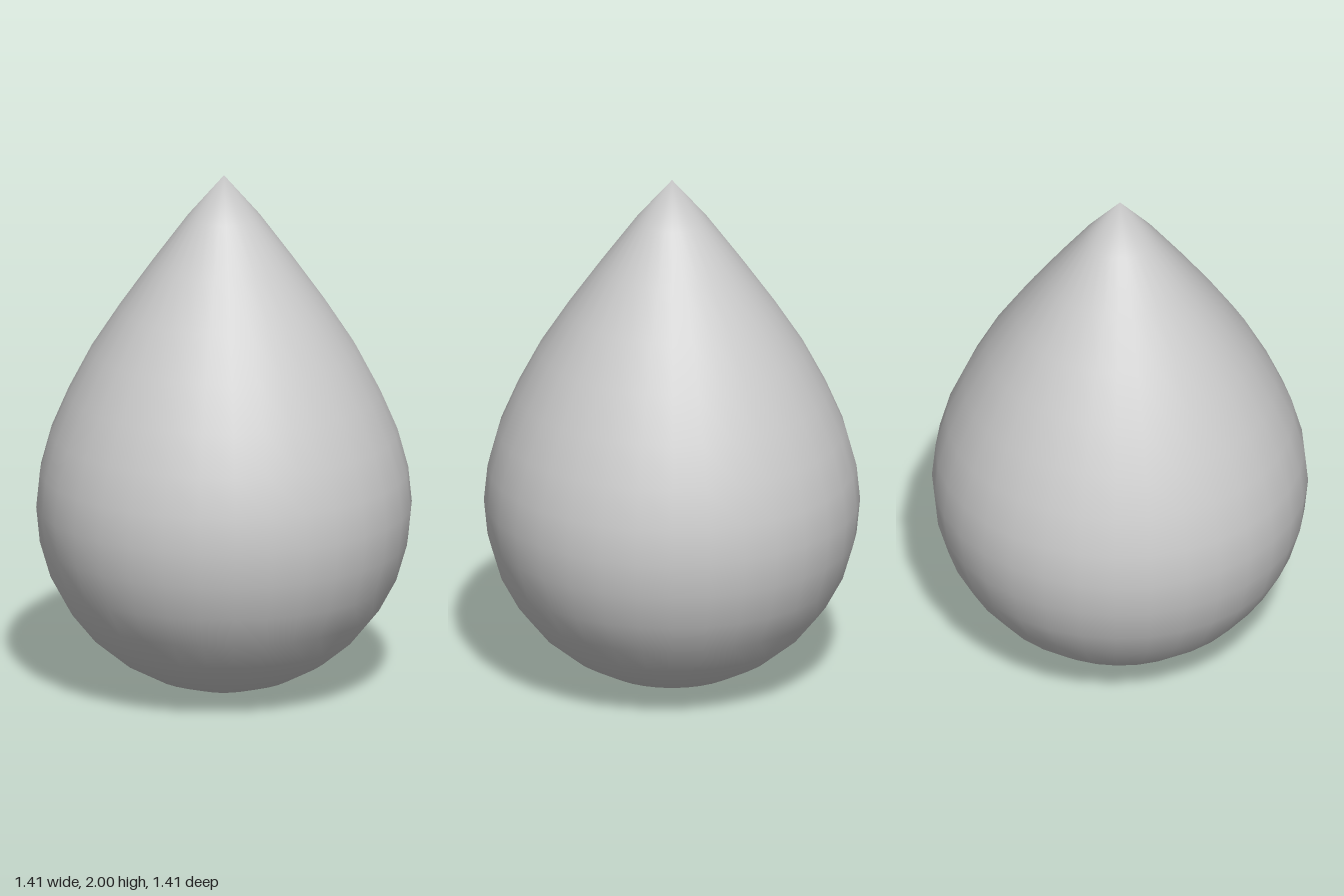
import * as THREE from 'three';
import { mergeVertices } from 'three/addons/utils/BufferGeometryUtils.js';

const SEGMENTS = 32, ROWS = 16, RADIUS = 0.707;
// Height of each ring, from the pointed tip down to the round base
const HEIGHTS = [2, 1.84, 1.66, 1.487, 1.322, 1.153, 1, 0.852, 0.717,
  0.581, 0.444, 0.323, 0.214, 0.126, 0.06, 0.018, 0];

export function createModel() {
  const group = new THREE.Group();
  group.name = 'teardrop';

  // A sphere whose rings are drawn up into a point
  const sphere = new THREE.SphereGeometry(RADIUS, SEGMENTS, ROWS);
  const position = sphere.attributes.position;
  for (let i = 0; i < position.count; i++) {
    position.setY(i, HEIGHTS[Math.floor(i / (SEGMENTS + 1))]);
  }

  // Weld the seam and poles so the shading is smooth all over
  sphere.deleteAttribute('uv');
  sphere.deleteAttribute('normal');
  const geometry = mergeVertices(sphere);
  geometry.computeVertexNormals();

  const drop = new THREE.Mesh(geometry, new THREE.MeshStandardMaterial({ color: 0xcccccc }));
  drop.name = 'dropBody';
  group.add(drop);
  return group;
}
